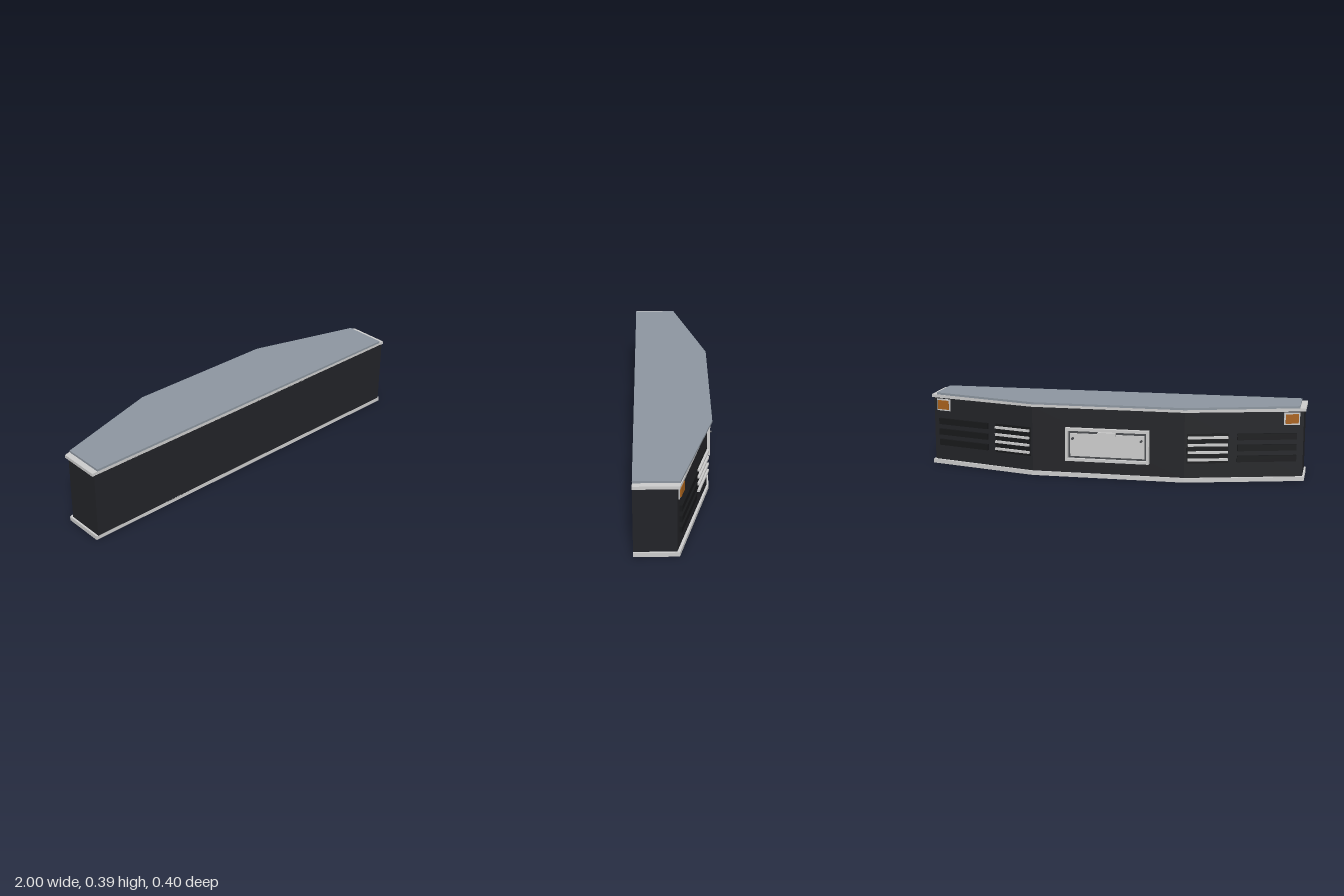
import * as THREE from 'three';

const mat = (color) => new THREE.MeshStandardMaterial({ color, flatShading: true });
const black = mat(0x222327), chrome = mat(0xcccccc), slate = mat(0x8c959f);
const amber = mat(0xa8621c), dark = mat(0x4a4c50), soot = mat(0x17181a);

function add(parent, name, geometry, material) {
  const mesh = new THREE.Mesh(geometry, material);
  mesh.name = name;
  parent.add(mesh);
  return mesh;
}

// Box given by its limits on each axis
function box(parent, name, material, [x0, x1], [y0, y1], [z0, z1]) {
  const mesh = add(parent, name, new THREE.BoxGeometry(Math.abs(x1 - x0), y1 - y0, Math.abs(z1 - z0)), material);
  mesh.position.set((x0 + x1) / 2, (y0 + y1) / 2, (z0 + z1) / 2);
  return mesh;
}

// Six-sided slab: straight front, short sides, swept-back corners
function slab(parent, name, material, halfWidth, sideZ, backZ, y0, y1) {
  const shape = new THREE.Shape([
    [-halfWidth, -0.2], [halfWidth, -0.2], [halfWidth, -sideZ],
    [0.4, -backZ], [-0.4, -backZ], [-halfWidth, -sideZ],
  ].map(([x, y]) => new THREE.Vector2(x, y)));
  const geo = new THREE.ExtrudeGeometry(shape, { depth: y1 - y0, bevelEnabled: false });
  geo.rotateX(-Math.PI / 2).translate(0, y0, 0);
  return add(parent, name, geo, material);
}

// Rectangular frame facing -z
function frame(parent, name, material, w, h, border, depth) {
  const rect = (T, a, b) => new T([[-a, -b], [a, -b], [a, b], [-a, b]].map(([x, y]) => new THREE.Vector2(x, y)));
  const shape = rect(THREE.Shape, w / 2, h / 2);
  shape.holes.push(rect(THREE.Path, w / 2 - border, h / 2 - border));
  const geo = new THREE.ExtrudeGeometry(shape, { depth, bevelEnabled: false });
  return add(parent, name, geo.translate(0, 0, -depth), material);
}

export function createModel() {
  const model = new THREE.Group();
  model.name = 'bumper';

  // Main body, trims and top step plate
  slab(model, 'body', black, 0.99, -0.005, -0.164, 0.02, 0.366);
  slab(model, 'bottomTrim', chrome, 1, -0.017, -0.175, 0, 0.022);
  slab(model, 'topTrim', chrome, 1, -0.017, -0.175, 0.364, 0.38);
  slab(model, 'topPlate', slate, 0.97, -0.02, -0.188, 0.38, 0.391);

  // Fittings on the two swept walls; local x runs outward along the wall
  for (const s of [1, -1]) {
    const wall = new THREE.Group();
    wall.name = s > 0 ? 'leftWallFittings' : 'rightWallFittings';
    wall.position.set(0.4 * s, 0, -0.164);
    wall.rotation.y = -s * Math.atan2(0.159, 0.59);
    model.add(wall);
    const span = (a, b) => [s * a, s * b];

    box(wall, 'grillePanel', soot, span(0.012, 0.225), [0.098, 0.252], [0.005, -0.003]);
    for (let i = 0; i < 4; i++) {
      const y = 0.118 + i * 0.0385;
      box(wall, 'grilleBar', chrome, span(0.016, 0.222), [y - 0.006, y + 0.006], [0, -0.015]);
    }
    for (let i = 0; i < 3; i++) {
      const y = 0.12 + i * 0.0575;
      box(wall, 'louver', soot, span(0.27, 0.575), [y - 0.016, y + 0.016], [0.005, -0.014]);
    }

    // Marker lamp in its bezel
    const lamp = new THREE.Group();
    lamp.name = 'markerLamp';
    lamp.position.set(s * 0.549, 0.325, 0);
    wall.add(lamp);
    frame(lamp, 'lampBezel', chrome, 0.082, 0.064, 0.008, 0.005);
    box(lamp, 'lampLens', amber, [-0.033, 0.033], [-0.024, 0.024], [0.003, -0.011]);
  }

  // Plate holder in the middle of the back
  const holder = new THREE.Group();
  holder.name = 'plateHolder';
  holder.position.set(0, 0.175, -0.164);
  model.add(holder);
  frame(holder, 'holderFrame', chrome, 0.44, 0.174, 0.014, 0.024);
  box(holder, 'holderBack', dark, [-0.21, 0.21], [-0.078, 0.078], [0.003, -0.005]);
  box(holder, 'plate', chrome, [-0.195, 0.195], [-0.062, 0.058], [-0.004, -0.012]);
  box(holder, 'plateLight', chrome, [-0.047, 0.047], [0.054, 0.071], [-0.004, -0.033]);
  for (const x of [-0.18, 0.18]) {
    const bolt = add(holder, 'plateBolt', new THREE.CylinderGeometry(0.006, 0.006, 0.022, 12), dark);
    bolt.rotation.x = Math.PI / 2;
    bolt.position.set(x, 0.033, -0.022);
  }
  return model;
}
